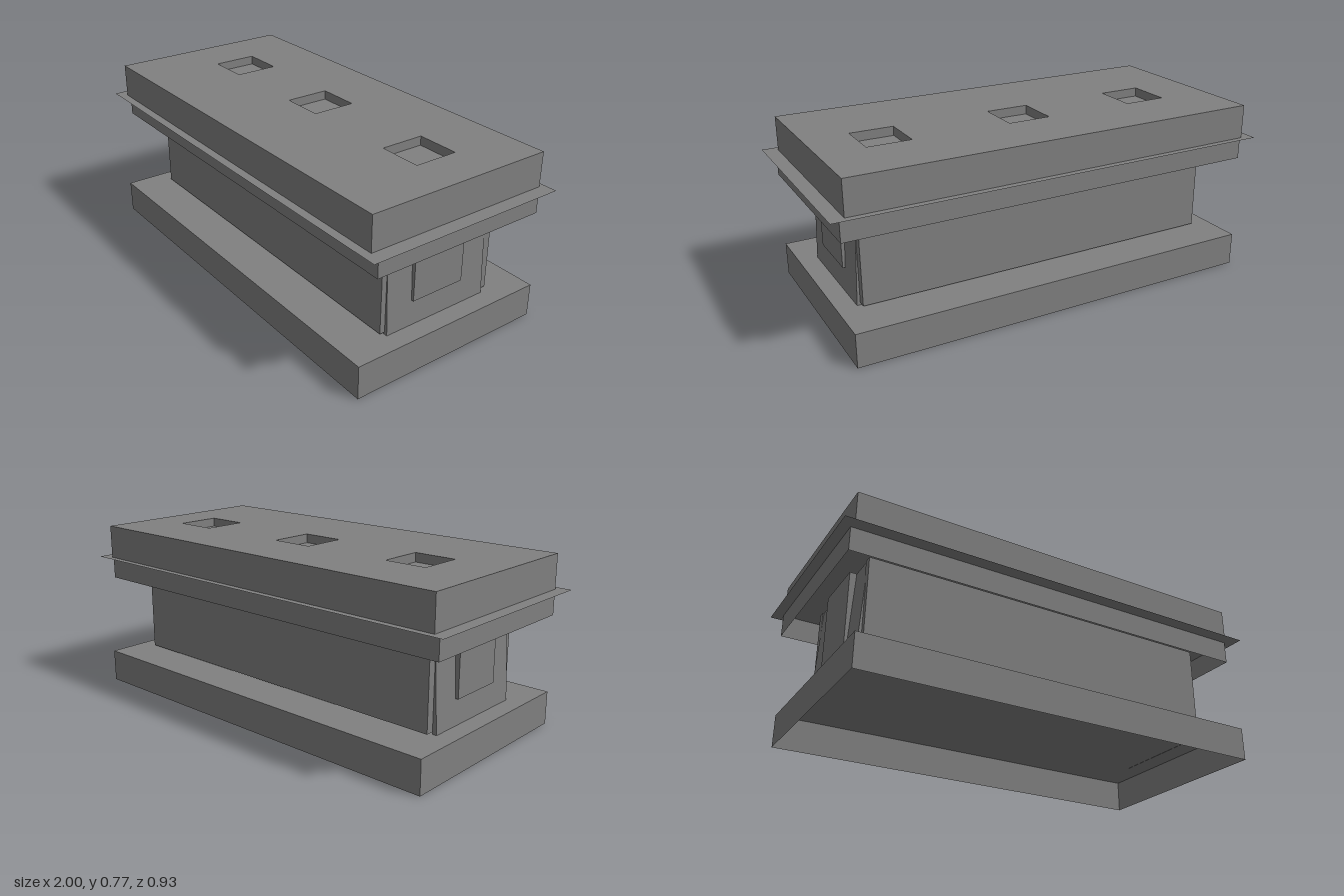
import * as THREE from 'three';

export function createModel() {
  const model = new THREE.Group();
  const grey = new THREE.MeshStandardMaterial({ color: 0x808080, side: THREE.DoubleSide });
  grey.name = 'plain grey';

  const add = (name, geometry) => {
    const mesh = new THREE.Mesh(geometry, grey);
    mesh.name = name;
    model.add(mesh);
    return mesh;
  };

  // Box between limits; faces listed in `open` are left out (2 = top, 3 = bottom)
  const box = (x0, x1, y0, y1, z0, z1, open = []) => {
    const g = new THREE.BoxGeometry(x1 - x0, y1 - y0, z1 - z0);
    g.translate((x0 + x1) / 2, (y0 + y1) / 2, (z0 + z1) / 2);
    g.setIndex(Array.from(g.index.array).filter((_, i) => !open.includes(Math.floor(i / 6))));
    g.clearGroups();
    return g;
  };

  // Rectangle outline on the ground plan (shape y is -z)
  const rect = (Type, x0, x1, z0, z1) => {
    const p = new Type();
    p.moveTo(x0, -z1);
    p.lineTo(x1, -z1);
    p.lineTo(x1, -z0);
    p.lineTo(x0, -z0);
    p.closePath();
    return p;
  };

  // Hollow base, open underneath
  add('base', box(-0.925, 0.938, 0, 0.148, -0.463, 0.463, [3]));

  // Long walls, raised slightly above the base
  add('frontWall', box(-0.825, 0.84, 0.158, 0.588, 0.245, 0.28));
  add('backWall', box(-0.825, 0.84, 0.158, 0.588, -0.288, -0.253));

  // Slightly leaning end walls, each with a raised panel
  const ends = [
    { name: 'left', s: 1, top: 0.835, foot: 0.854, panel: 0.86 },
    { name: 'right', s: -1, top: 0.82, foot: 0.844, panel: 0.85 },
  ];
  for (const { name, s, top, foot, panel } of ends) {
    const wall = box(-0.01, 0.01, 0.147, 0.588, -0.253, 0.257);
    const p = wall.attributes.position;
    for (let i = 0; i < p.count; i++) {
      const outer = p.getY(i) > 0.3 ? top : foot;
      p.setX(i, p.getX(i) * s > 0 ? s * outer : s * (outer - 0.018));
    }
    wall.computeVertexNormals();
    add(name + 'EndWall', wall);
    const a = s * panel, b = s * (panel - 0.035);
    add(name + 'EndPanel', box(Math.min(a, b), Math.max(a, b), 0.26, 0.588, -0.122, 0.133));
  }

  // Open band below the eaves
  add('eavesBand', box(-0.955, 0.953, 0.511, 0.615, -0.42, 0.402, [2, 3]));

  // Thin eaves sheet
  const sheet = new THREE.PlaneGeometry(2, 0.926);
  sheet.rotateX(-Math.PI / 2);
  add('eavesSheet', sheet).position.set(0, 0.615, -0.002);

  // Roof block with three square pits
  const roof = rect(THREE.Shape, -0.945, 0.938, -0.438, 0.423);
  const pits = [-0.603, 0.006, 0.643];
  for (const x of pits) {
    roof.holes.push(rect(THREE.Path, x - 0.097, x + 0.097, -0.157, 0.042));
    const floor = new THREE.PlaneGeometry(0.194, 0.199);
    floor.rotateX(-Math.PI / 2);
    add('pitFloor', floor).position.set(x, 0.728, -0.0575);
  }
  const roofGeometry = new THREE.ExtrudeGeometry(roof, { depth: 0.152, bevelEnabled: false });
  roofGeometry.rotateX(-Math.PI / 2);
  roofGeometry.translate(0, 0.616, 0);
  add('roof', roofGeometry);

  return model;
}
